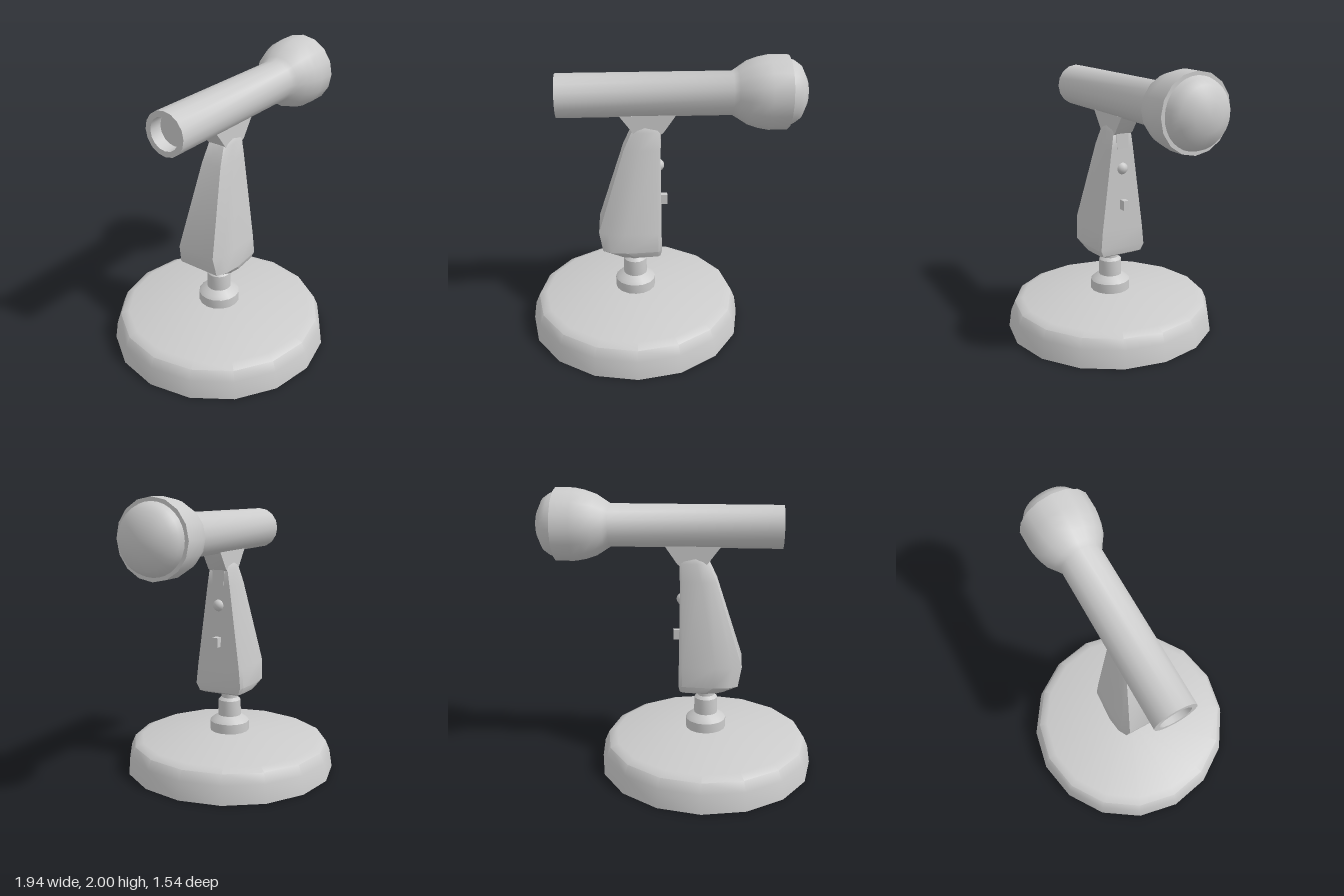
import * as THREE from 'three';
import { toCreasedNormals } from 'three/addons/utils/BufferGeometryUtils.js';

const material = new THREE.MeshStandardMaterial({ color: 0xcccccc });

export function createModel() {
  const model = new THREE.Group();

  function add(name, geometry, x = 0, y = 0, z = 0, crease = 0.7) {
    const mesh = new THREE.Mesh(toCreasedNormals(geometry, crease), material);
    mesh.name = name;
    mesh.position.set(x, y, z);
    model.add(mesh);
    return mesh;
  }

  // Profiles are [radius, height] pairs
  function lathe(profile, sides = 16) {
    return new THREE.LatheGeometry(profile.map(([r, h]) => new THREE.Vector2(r, h)), sides);
  }

  // Round base with a recessed underside
  add('base', lathe([
    [0, 0.07], [0.65, 0.07], [0.65, 0], [0.77, 0], [0.75, 0.13],
    [0.72, 0.2], [0.66, 0.225], [0.14, 0.275], [0, 0.275],
  ]), -0.205, 0, 0, 0.8);

  // Stepped stem
  add('stem', lathe([
    [0.145, 0.26], [0.145, 0.345], [0.125, 0.365], [0.085, 0.39],
    [0.082, 0.505], [0.06, 0.525], [0.058, 0.63],
  ]), -0.203);

  // Tapered body: [height, back x, front x, half width] at each level
  const levels = [
    [0.585, -0.29, -0.05, 0.15],
    [0.6, -0.33, -0.025, 0.18],
    [0.65, -0.43, -0.015, 0.205],
    [0.79, -0.455, -0.017, 0.19],
    [1.38, -0.27, -0.02, 0.1],
    [1.5, -0.215, -0.022, 0.08],
    [1.535, -0.18, -0.045, 0.07],
    [1.55, -0.145, -0.085, 0.06],
  ];
  // Half outline of a cross-section: [fraction from back to front, fraction of width]
  const half = [[1, 0.86], [0.94, 0.93], [0.42, 1], [0.15, 0.93], [0, 0.76]];
  const outline = [...half, ...half.map(([a, b]) => [a, -b]).reverse()];
  const n = outline.length;
  const positions = [];
  const index = [];
  levels.forEach(([y, back, front, width]) => {
    for (const [a, b] of outline) positions.push(back + (front - back) * a, y, width * b);
  });
  for (let k = 0; k < levels.length - 1; k++) {
    for (let i = 0; i < n; i++) {
      const a = k * n + i;
      const b = k * n + (i + 1) % n;
      index.push(a, a + n, b, b, a + n, b + n);
    }
  }
  // End caps
  const top = (levels.length - 1) * n;
  for (let i = 1; i < n - 1; i++) {
    index.push(0, i, i + 1);
    index.push(top, top + i + 1, top + i);
  }
  const body = new THREE.BufferGeometry();
  body.setAttribute('position', new THREE.Float32BufferAttribute(positions, 3));
  body.setIndex(index);
  add('body', body, 0, 0, 0, 0.6);

  // Controls on the body's front edge
  add('roundButton', new THREE.SphereGeometry(0.045, 12, 8), -0.035, 1.237, 0);
  add('switch', new THREE.BoxGeometry(0.07, 0.07, 0.04), -0.003, 0.977, 0);

  // Bracket and hinge tab under the barrel
  const bracketShape = new THREE.Shape([
    [-0.205, 1.5], [-0.17, 1.47], [-0.04, 1.47], [0, 1.497], [0.085, 1.62], [-0.295, 1.62],
  ].map(([x, y]) => new THREE.Vector2(x, y)));
  add('bracket', new THREE.ExtrudeGeometry(bracketShape, { depth: 0.14, bevelEnabled: false }), 0, 0, -0.07);
  add('hingeTab', new THREE.BoxGeometry(0.08, 0.12, 0.09), -0.054, 1.44, 0);

  // Barrel with a hollow rear end and a flared head
  const barrel = add('barrel', lathe([
    [0, -0.62], [0.11, -0.62], [0.11, -0.71], [0.148, -0.71], [0.148, 0.46],
    [0.17, 0.495], [0.213, 0.56], [0.237, 0.63], [0.251, 0.7], [0.251, 0.83], [0.22, 0.83],
  ]), 0, 1.748, 0);
  barrel.rotation.z = -Math.PI / 2;

  // Domed front
  const dome = add('dome', lathe([
    [0.226, 0.825], [0.212, 0.87], [0.18, 0.915], [0.1, 0.955], [0, 0.97],
  ], 32), 0, 1.748, 0);
  dome.rotation.z = -Math.PI / 2;

  return model;
}
